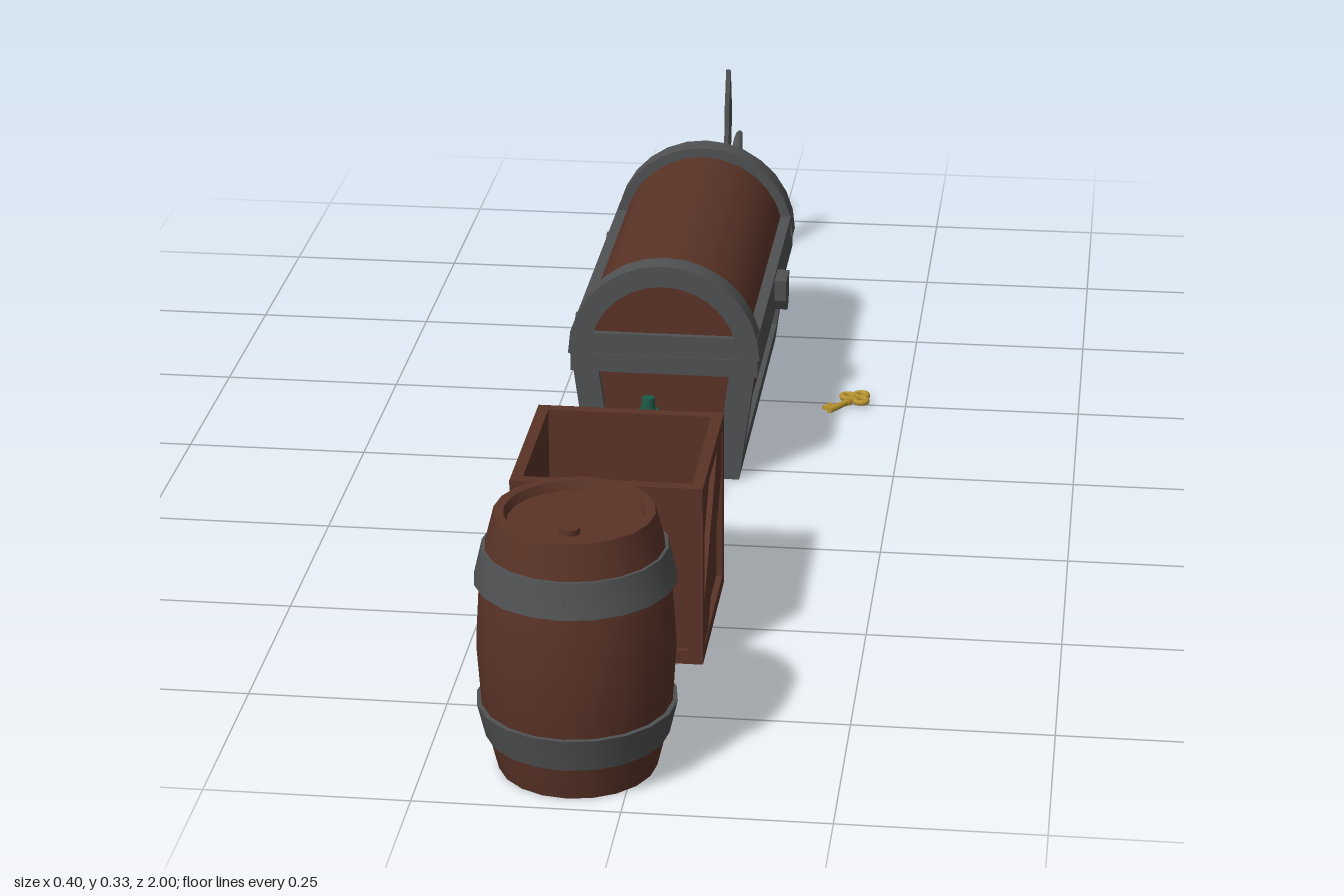
import * as THREE from 'three';
import { toCreasedNormals } from 'three/addons/utils/BufferGeometryUtils.js';

const mat = (name, color) => {
  const m = new THREE.MeshStandardMaterial({ color });
  m.name = name;
  return m;
};
const V2 = (a) => a.map(([x, y]) => new THREE.Vector2(x, y));
const V3 = (a) => a.map((p) => new THREE.Vector3(...p));

export function createModel() {
  const wood = mat('brown wood', 0x5a3327);
  const steel = mat('dark steel', 0x505152);
  const gold = mat('gold', 0xb8932f);
  const green = mat('green glass', 0x1c5a46);
  const paper = mat('amber label', 0xa67c30);
  label(paper);

  const model = new THREE.Group();
  model.name = 'pirateProps';
  const X = -0.068; // shared centre line of the row

  function label(m) { m.side = THREE.DoubleSide; }
  function group(name, x, y, z) {
    const g = new THREE.Group();
    g.name = name;
    g.position.set(x, y, z);
    model.add(g);
    return g;
  }
  function add(parent, name, geo, m, x = 0, y = 0, z = 0) {
    const mesh = new THREE.Mesh(geo, m);
    mesh.name = name;
    mesh.position.set(x, y, z);
    parent.add(mesh);
    return mesh;
  }
  const box = (w, h, d) => new THREE.BoxGeometry(w, h, d);
  const lathe = (pts, seg = 20) => toCreasedNormals(new THREE.LatheGeometry(V2(pts), seg), 0.6);
  // Extrusion centred on its depth, along z
  function slab(shape, depth, seg = 7) {
    const g = new THREE.ExtrudeGeometry(shape, { depth, bevelEnabled: false, curveSegments: seg });
    g.translate(0, 0, -depth / 2);
    return toCreasedNormals(g, 0.5);
  }
  const poly = (pts) => new THREE.Shape(V2(pts));

  // Barrel with recessed ends and two hoops
  const barrel = group('barrel', X, 0, 0.878);
  add(barrel, 'staves', lathe([
    [0, 0.01], [0.08, 0.01], [0.084, 0], [0.096, 0], [0.107, 0.045], [0.115, 0.088], [0.12, 0.165],
    [0.115, 0.245], [0.107, 0.288], [0.096, 0.331], [0.084, 0.331], [0.08, 0.32], [0, 0.32],
  ]), wood);
  const hoop = [[0.104, 0.045], [0.111, 0.045], [0.121, 0.088], [0.112, 0.088]];
  add(barrel, 'lowerHoop', lathe(hoop), steel);
  add(barrel, 'upperHoop', lathe(hoop.map(([r, y]) => [r, 0.333 - y]).reverse()), steel);
  add(barrel, 'bung', new THREE.CylinderGeometry(0.012, 0.012, 0.008, 12), wood, 0, 0.323, 0.04);

  // Open crate: each side is a panel, a frame and a diagonal plank
  const crate = group('crate', X, 0.125, 0.495);
  const a = 0.104, d = 0.05, H = 0.121;
  const plank = poly([[-a, -a], [-a + d, -a], [a, a - d], [a, a], [a - d, a], [-a, -a + d]]);
  function crateSide(name) {
    const g = new THREE.Group();
    g.name = name;
    add(g, 'panel', box(0.222, 0.222, 0.007), wood, 0, 0, 0.1095);
    for (const s of [-1, 1]) {
      add(g, 'rail', box(2 * H, 0.018, 0.015), wood, 0, s * (H - 0.009), H - 0.0075);
      add(g, 'post', box(0.018, 2 * H - 0.036, 0.015), wood, s * (H - 0.009), 0, H - 0.0075);
    }
    add(g, 'diagonalPlank', slab(plank, 0.008), wood, 0, 0, 0.116);
    crate.add(g);
    return g;
  }
  for (let i = 0; i < 4; i++) crateSide('side').rotation.y = i * Math.PI / 2;
  crateSide('bottom').rotation.x = Math.PI / 2;

  // Bottle with a label wrapped round its +x side
  const bottle = group('bottle', X, 0, 0.2);
  add(bottle, 'glass', lathe([
    [0, 0], [0.029, 0], [0.032, 0.004], [0.032, 0.07], [0.029, 0.08], [0.018, 0.1], [0.012, 0.115],
    [0.0105, 0.16], [0.014, 0.161], [0.014, 0.171], [0.0095, 0.172], [0.0085, 0.189], [0, 0.189],
  ], 18), green);
  add(bottle, 'label', new THREE.CylinderGeometry(0.0328, 0.0328, 0.06, 12, 1, true, Math.PI / 2 - 1.05, 2.1),
    paper, 0, 0.039, 0);

  // Chest: tapered body, round lid, steel frames and bands
  const chest = group('chest', X, 0, -0.228);
  const L = 0.525, LIDY = 0.18;
  const half = (y) => 0.105 + 0.024 * y / 0.18;
  const trap = (y0, y1, inset) => [
    [-half(y0) + inset, y0], [half(y0) - inset, y0], [half(y1) - inset, y1], [-half(y1) + inset, y1]];
  add(chest, 'body', slab(poly(trap(0.006, 0.18, 0.008)), L - 0.02), wood);
  const lidShape = new THREE.Shape();
  lidShape.absarc(0, 0, 0.119, 0, Math.PI, false);
  add(chest, 'lid', slab(lidShape, L - 0.02), wood, 0, LIDY, 0);
  const bodyFrame = poly(trap(0, 0.18, 0));
  bodyFrame.holes.push(new THREE.Path(V2(trap(0.036, 0.155, 0.035))));
  const arch = new THREE.Shape();
  arch.absarc(0, 0, 0.133, 0, Math.PI, false);
  arch.absarc(0, 0, 0.103, Math.PI, 0, true);
  for (const s of [-1, 1]) {
    add(chest, 'endFrame', slab(bodyFrame, 0.035), steel, 0, 0, s * (L / 2 - 0.0175));
    add(chest, 'lidArch', slab(arch, 0.035), steel, 0, LIDY, s * (L / 2 - 0.0175));
    const rail = [[0.08, 0], [half(0), 0], [half(0.038), 0.038], [0.08, 0.038]].map(([x, y]) => [s * x, y]);
    add(chest, 'bottomRail', slab(poly(rail), L - 0.002), steel);
    add(chest, 'hinge', new THREE.CylinderGeometry(0.014, 0.014, 0.02, 12).rotateZ(Math.PI / 2),
      steel, -0.126, 0.186, s * 0.16);
  }
  add(chest, 'middleBand', box(0.26, 0.057, L - 0.003), steel, 0, 0.182, 0);
  const shield = poly([[-0.023, 0.026], [0.023, 0.026], [0.023, -0.004], [0.013, -0.02], [0, -0.026],
    [-0.013, -0.02], [-0.023, -0.004]]);
  add(chest, 'lock', slab(shield, 0.024).rotateY(Math.PI / 2), steel, 0.135, 0.179, 0);

  // Key lying flat, with a three-ring bow
  const key = group('key', 0.177, 0.0075, -0.257);
  key.rotation.y = -0.6;
  for (const [x, z] of [[0, -0.013], [-0.012, 0.003], [0.012, 0.003]])
    add(key, 'bowRing', new THREE.TorusGeometry(0.0085, 0.0045, 8, 14).rotateX(Math.PI / 2), gold, x, 0, z);
  add(key, 'shaft', new THREE.CylinderGeometry(0.0045, 0.0045, 0.055, 10).rotateX(Math.PI / 2), gold, 0, 0, 0.034);
  add(key, 'collar', new THREE.CylinderGeometry(0.006, 0.006, 0.006, 10).rotateX(Math.PI / 2), gold, 0, 0, 0.018);
  for (const z of [0.045, 0.056]) add(key, 'tooth', box(0.014, 0.005, 0.006), gold, -0.008, 0, z);

  // Curved sword standing on its hilt
  const sword = group('sword', X, 0, 0);
  const blade = new THREE.Shape(V2([[0.708, 0.106]]).concat(
    new THREE.SplineCurve(V2([[0.715, 0.12], [0.741, 0.16], [0.766, 0.217], [0.774, 0.272]])).getPoints(8),
    new THREE.SplineCurve(V2([[0.794, 0.324], [0.808, 0.285], [0.813, 0.235], [0.799, 0.185], [0.772, 0.139],
      [0.735, 0.1]])).getPoints(12)));
  add(sword, 'blade', slab(blade, 0.007).rotateY(Math.PI / 2), steel);
  const hilt = new THREE.Group();
  hilt.name = 'hilt';
  hilt.position.set(0, 0.104, -0.714);
  hilt.rotation.x = -0.64;
  sword.add(hilt);
  add(hilt, 'guard', new THREE.SphereGeometry(1, 20, 12).scale(0.04, 0.013, 0.057), gold);
  add(hilt, 'grip', new THREE.CylinderGeometry(0.01, 0.012, 0.09, 12), wood, 0, -0.052, 0);
  add(hilt, 'pommel', new THREE.SphereGeometry(1, 14, 10).scale(0.018, 0.011, 0.017), gold, 0, -0.101, 0);
  const bow = new THREE.CatmullRomCurve3(V3([[0, 0, -0.046], [0, -0.045, -0.048], [0, -0.085, -0.035],
    [0, -0.102, 0]]));
  add(hilt, 'knuckleBow', new THREE.TubeGeometry(bow, 20, 0.006, 8).scale(1.8, 1, 1), gold);

  // Hook on a domed wooden cup
  const hook = group('hook', X, 0, -0.951);
  add(hook, 'cup', lathe([[0, 0.014], [0.032, 0.012], [0.034, 0], [0.039, 0], [0.04, 0.022], [0.035, 0.036],
    [0.024, 0.046], [0.01, 0.05], [0, 0.05]], 18), wood);
  add(hook, 'socket', new THREE.CylinderGeometry(0.011, 0.013, 0.014, 12), steel, 0, 0.053, 0);
  const path = new THREE.CatmullRomCurve3(V3([[0, 0.045, 0], [0, 0.068, 0], [0, 0.086, 0.015],
    [0, 0.112, 0.032], [0, 0.14, 0.028], [0, 0.16, 0.004], [0, 0.157, -0.025], [0, 0.136, -0.047]]));
  const N = 36, R = 10;
  const tube = new THREE.TubeGeometry(path, N, 0.0095, R);
  const pos = tube.attributes.position, v = new THREE.Vector3();
  for (let i = 0; i <= N; i++) { // taper to a point
    const t = i / N, c = path.getPointAt(t), k = Math.min(1, (1 - t) * 2.2);
    for (let j = 0; j <= R; j++) {
      const n = i * (R + 1) + j;
      v.fromBufferAttribute(pos, n).sub(c).multiplyScalar(k).add(c);
      pos.setXYZ(n, v.x, v.y, v.z);
    }
  }
  add(hook, 'hookCurve', tube, steel);

  return model;
}
